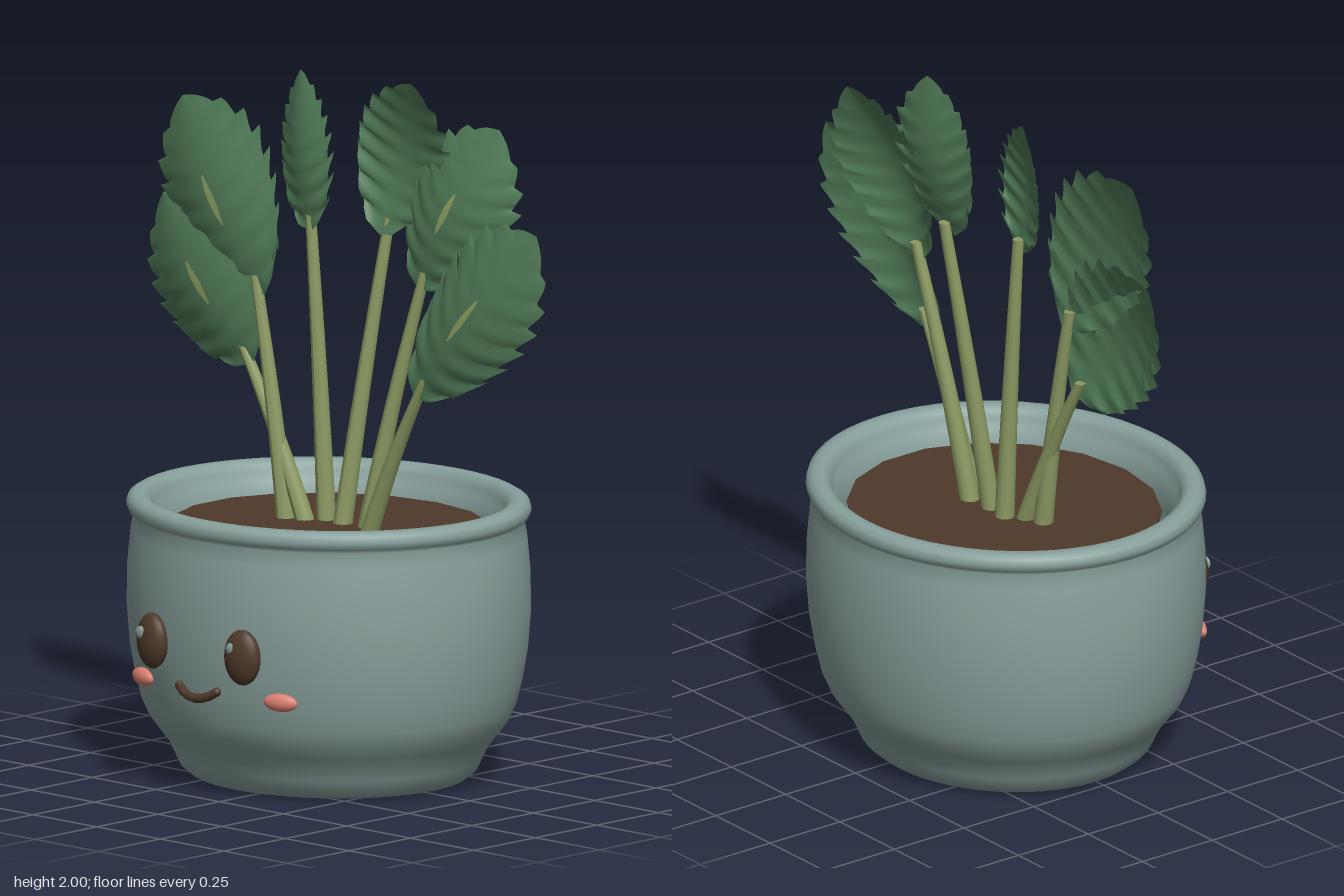
import * as THREE from 'three';

const mat = (name, color, side = THREE.FrontSide) => {
  const m = new THREE.MeshStandardMaterial({ color, side });
  m.name = name;
  return m;
};

export function createModel() {
  const glaze = mat('blue grey glaze', 0x88a09c);
  const brown = mat('dark brown', 0x4e392b);
  const blush = mat('blush pink', 0xdc8072);
  const green = mat('leaf green', 0x507a57, THREE.DoubleSide);
  const stemGreen = mat('stem green', 0x8c9a63);
  const veinGreen = mat('vein green', 0x8ea062, THREE.DoubleSide);

  const model = new THREE.Group();
  model.name = 'pottedPlant';
  const add = (name, geometry, material, parent = model) => {
    const mesh = new THREE.Mesh(geometry, material);
    mesh.name = name;
    parent.add(mesh);
    return mesh;
  };

  // Pot: slightly oval turned shell with a rolled rim, dished foot and drain hole
  const profile = [
    [0.13, 0.13], [0.13, 0.085], [0.15, 0.075], [0.21, 0.07], [0.27, 0.05], [0.33, 0.02], [0.375, 0.003],
    [0.41, 0.008], [0.438, 0.03], [0.455, 0.065], [0.473, 0.1], [0.5, 0.135], [0.53, 0.173], [0.552, 0.22],
    [0.57, 0.29], [0.586, 0.38], [0.595, 0.49], [0.593, 0.6], [0.583, 0.7], [0.574, 0.745], [0.588, 0.757],
    [0.596, 0.775], [0.59, 0.795], [0.572, 0.805], [0.545, 0.805], [0.527, 0.795], [0.52, 0.775],
    [0.51, 0.75], [0.48, 0.7], [0.46, 0.5], [0.42, 0.2], [0.38, 0.14], [0.13, 0.13],
  ].map(([x, y]) => new THREE.Vector2(x, y));
  const pot = new THREE.Group();
  pot.name = 'pot';
  pot.position.set(-0.065, 0, -0.012);
  pot.scale.z = 0.92;
  model.add(pot);
  add('potShell', new THREE.LatheGeometry(profile, 56), glaze, pot);
  const soil = add('soil', new THREE.CylinderGeometry(0.47, 0.45, 0.06, 18), brown, pot);
  soil.position.set(0, 0.69, -0.006);

  // Face: eyes with glints, cheeks and a smile
  const ball = new THREE.SphereGeometry(1, 24, 16);
  const oval = (name, material, x, y, z, rx, ry, rz, turn = 0) => {
    const mesh = add(name, ball, material);
    mesh.position.set(x, y, z);
    mesh.scale.set(rx, ry, rz);
    mesh.rotation.y = turn;
  };
  for (const s of [-1, 1]) {
    const side = s > 0 ? 'left' : 'right';
    oval(side + 'Eye', brown, -0.063 + s * 0.177, 0.438, 0.525, 0.059, 0.08, 0.034, s * 0.15);
    oval(side + 'EyeGlint', glaze, -0.083 + s * 0.177, 0.463, 0.552, 0.018, 0.018, 0.008);
    oval(side + 'Cheek', blush, -0.063 + s * 0.27, 0.312, 0.466, 0.053, 0.026, 0.02, s * 0.3);
  }
  const smile = new THREE.CatmullRomCurve3([
    [-0.138, 0.323, 0.52], [-0.11, 0.306, 0.528], [-0.065, 0.297, 0.534],
    [-0.02, 0.306, 0.528], [0.008, 0.323, 0.52],
  ].map((p) => new THREE.Vector3(...p)));
  add('smile', new THREE.TubeGeometry(smile, 6, 0.013, 8), brown);
  for (const p of [smile.getPoint(0), smile.getPoint(1)]) {
    oval('smileEnd', brown, p.x, p.y, p.z, 0.013, 0.013, 0.013);
  }

  // Blade surface: u runs from base to tip, v from edge to edge (-1 to 1)
  const TEETH = 8;
  const outline = (u, taper) => u ** 0.4 * Math.max(0, 1 - u ** taper);
  const bladePoint = (leaf, u, v) => {
    const [bx, by, bz] = leaf.base;
    const [tx, ty, tz] = leaf.tip;
    const dx = tx - bx, dy = ty - by;
    const len = Math.hypot(dx, dy);
    const a = Math.abs(v);
    const tooth = (u * TEETH + 1e-4) % 1;
    const widest = outline((0.4 / (0.4 + leaf.taper)) ** (1 / leaf.taper), leaf.taper);
    const half = leaf.width * outline(u, leaf.taper) / widest * (0.9 + 0.22 * tooth * a ** 3);
    const along = u + a * a * (1 - u) * u * 0.25 + a ** 4 * tooth * (1 - u) * 0.12;
    const arch = Math.sin(Math.PI * u);
    const ripple = 0.009 * a * Math.sin(2 * Math.PI * TEETH * u) * (1 - u);
    const side = (half * v) / len;
    return new THREE.Vector3(
      bx + dx * along + dy * side,
      by + dy * along - dx * side,
      bz + (tz - bz) * along + (leaf.bulge - leaf.cup * a * a) * arch + ripple + v * arch * leaf.twist,
    );
  };
  const bladeSheet = (cols, rows, map) => {
    const geo = new THREE.PlaneGeometry(1, 1, cols, rows);
    const pos = geo.attributes.position;
    for (let i = 0; i < pos.count; i++) {
      const p = map(pos.getY(i) + 0.5, pos.getX(i) * 2);
      pos.setXYZ(i, p.x, p.y, p.z);
    }
    geo.computeVertexNormals();
    return geo;
  };

  // Tapered stalk following a curve
  const stalk = (curve, r0, r1) => {
    const geo = new THREE.CylinderGeometry(1, 1, 1, 12, 10);
    const pos = geo.attributes.position;
    for (let i = 0; i < pos.count; i++) {
      const t = pos.getY(i) + 0.5;
      const r = r0 + (r1 - r0) * t;
      const c = curve.getPoint(t);
      pos.setXYZ(i, c.x + pos.getX(i) * r, c.y, c.z + pos.getZ(i) * r);
    }
    geo.computeVertexNormals();
    return geo;
  };

  const leaves = [
    { root: [-0.16, -0.02], base: [-0.34, 1.15, 0.01], tip: [-0.705, 1.59, 0.0], width: 0.21, taper: 3, bulge: 0.05, cup: 0.06, twist: 0, vein: true },
    { root: [-0.22, 0.0], base: [-0.305, 1.35, 0.0], tip: [-0.63, 1.88, 0.0], width: 0.2, taper: 3.5, bulge: 0.05, cup: 0.06, twist: -0.015, vein: true },
    { root: [-0.12, -0.06], base: [-0.17, 1.545, -0.05], tip: [-0.28, 1.985, -0.12], width: 0.12, taper: 2, bulge: 0.035, cup: 0.035, twist: 0.025 },
    { root: [-0.05, -0.05], base: [0.02, 1.55, -0.13], tip: [0.145, 2.0, -0.13], width: 0.17, taper: 3, bulge: -0.05, cup: -0.03, twist: 0 },
    { root: [0.035, -0.06], base: [0.18, 1.42, -0.12], tip: [0.42, 1.895, -0.205], width: 0.185, taper: 3, bulge: 0.05, cup: 0.06, twist: 0, vein: true },
    { root: [0.09, -0.01], base: [0.28, 1.14, 0.0], tip: [0.71, 1.65, -0.055], width: 0.185, taper: 3.3, bulge: 0.045, cup: 0.06, twist: 0.02, vein: true },
  ];

  leaves.forEach((leaf) => {
    const group = new THREE.Group();
    group.name = 'leaf';
    model.add(group);
    add('blade', bladeSheet(12, TEETH * 5, (u, v) => bladePoint(leaf, u, v)), green, group);

    // Stalk rises from the soil and tucks in behind the blade
    const [x0, z0] = leaf.root;
    const end = bladePoint(leaf, 0.1, 0);
    end.z -= 0.012;
    const start = new THREE.Vector3(x0, 0.7, z0);
    const mid = start.clone().lerp(end, 0.5);
    mid.x -= (end.x - x0) * 0.1;
    add('stalk', stalk(new THREE.QuadraticBezierCurve3(start, mid, end), 0.029, 0.016), stemGreen, group);

    // Pale midrib sliver on the front of the blade
    if (leaf.vein) {
      const sliver = bladeSheet(2, 8, (t, v) => {
        const p = bladePoint(leaf, 0.36 + 0.25 * t, v * 0.065 * Math.sin(Math.PI * (0.08 + 0.84 * t)));
        p.z += 0.005;
        return p;
      });
      add('midrib', sliver, veinGreen, group);
    }
  });

  return model;
}
